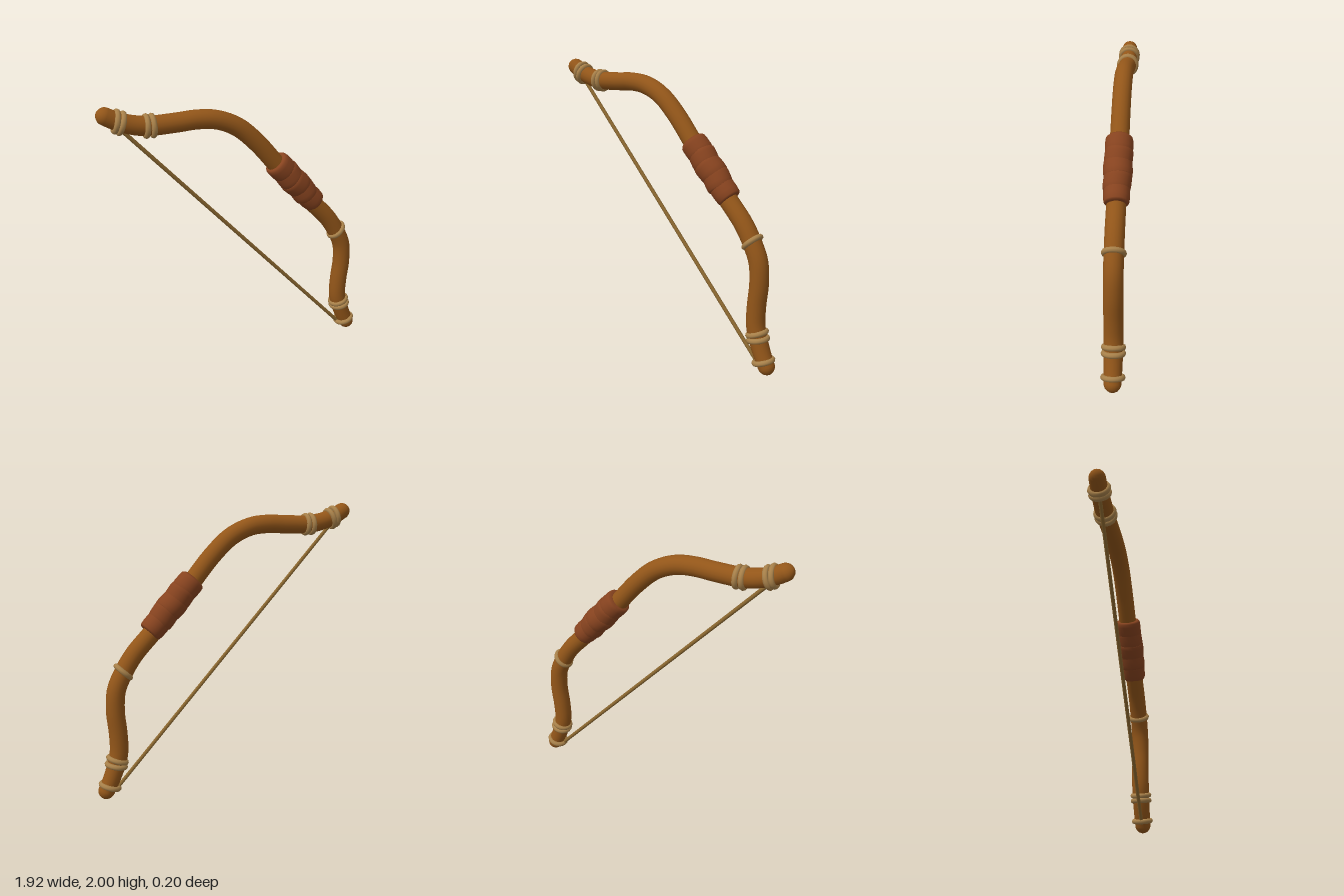
import * as THREE from 'three';

const mat = (name, color) => {
  const m = new THREE.MeshStandardMaterial({ color });
  m.name = name;
  return m;
};

// Centre line of the bow stave, from the upper tip to the lower tip
const stavePath = new THREE.CatmullRomCurve3([
  [-0.953, 1.972], [-0.905, 1.945], [-0.82, 1.9], [-0.72, 1.868], [-0.625, 1.854], [-0.44, 1.856],
  [-0.31, 1.861], [-0.175, 1.845], [-0.03, 1.78], [0.105, 1.66], [0.25, 1.49], [0.39, 1.318],
  [0.555, 1.14], [0.68, 1.005], [0.757, 0.885], [0.808, 0.77], [0.82, 0.625], [0.806, 0.465],
  [0.804, 0.335], [0.825, 0.24], [0.868, 0.125], [0.9, 0.058], [0.922, 0.006],
].map(([x, y]) => new THREE.Vector3(x, y, 0)), false, 'centripetal');

// Round stave with domed ends, swept in the xy plane
function staveGeometry(sides = 18) {
  const length = stavePath.getLength(), dome = 0.056;
  const stops = [0, 0.003, 0.012, 0.026, 0.042];
  const body = 90;
  for (let i = 0; i <= body; i++) stops.push(dome + (length - 2 * dome) * i / body);
  for (const s of [0.042, 0.026, 0.012, 0.003, 0]) stops.push(length - s);
  const pos = [], index = [];
  stops.forEach((s, i) => {
    const p = stavePath.getPointAt(s / length), t = stavePath.getTangentAt(s / length);
    const end = Math.min(s, length - s);
    const k = Math.max(0, 1 - end / dome);
    const r = (0.056 + 0.008 * Math.min(1, end / 0.3)) * Math.sqrt(1 - k * k);
    for (let j = 0; j < sides; j++) {
      const a = j / sides * Math.PI * 2, c = r * Math.cos(a);
      pos.push(p.x - t.y * c, p.y + t.x * c, r * Math.sin(a));
      if (i === stops.length - 1) continue;
      const n = (j + 1) % sides, q = i * sides;
      index.push(q + j, q + n, q + sides + j, q + n, q + sides + n, q + sides + j);
    }
  });
  const g = new THREE.BufferGeometry();
  g.setAttribute('position', new THREE.Float32BufferAttribute(pos, 3));
  g.setIndex(index);
  g.computeVertexNormals();
  return g;
}

export function createModel() {
  const wood = mat('wood', 0x935619);
  const leather = mat('leather', 0x87431f);
  const rope = mat('rope', 0xa8814a);
  const cord = mat('cord', 0x8c6830);

  const model = new THREE.Group();
  model.name = 'bow';
  const add = (name, geometry, material, parent = model) => {
    const m = new THREE.Mesh(geometry, material);
    m.name = name;
    parent.add(m);
    return m;
  };

  add('stave', staveGeometry(), wood);

  // Leather grip: overlapping, slightly tilted bands
  const grip = new THREE.Group();
  grip.name = 'grip';
  const top = new THREE.Vector3(0.25, 1.5, 0), bottom = new THREE.Vector3(0.568, 1.146, 0);
  const axis = top.clone().sub(bottom);
  const gripLength = axis.length();
  grip.position.copy(top).add(bottom).multiplyScalar(0.5);
  grip.quaternion.setFromUnitVectors(new THREE.Vector3(0, 1, 0), axis.normalize());
  model.add(grip);
  const bands = [
    { r: 0.086, tilt: 0.05 }, { r: 0.092, tilt: -0.14 }, { r: 0.096, tilt: 0.12 },
    { r: 0.094, tilt: -0.12 }, { r: 0.093, tilt: 0.04 },
  ];
  bands.forEach(({ r, tilt }, i) => {
    const h = 0.066;
    const profile = [[0.05, -h], [r - 0.014, -h], [r - 0.004, -h + 0.012], [r, -0.02],
      [r, 0.03], [r - 0.003, h - 0.012], [r - 0.014, h], [0.05, h]];
    const band = add('gripBand', new THREE.LatheGeometry(profile.map(p => new THREE.Vector2(...p)), 24), leather, grip);
    band.position.y = -gripLength / 2 + h + i * (gripLength - 2 * h) / (bands.length - 1);
    band.rotation.set(tilt * 0.6, 0, tilt);
  });

  // Rope bindings: x, y of centre, stave direction in degrees, coils as [offset, tilt]
  const bindings = [
    ['upperTipBinding', -0.822, 1.898, -25, [[-0.018, 0.2], [0.018, 0.1]]],
    ['upperBinding', -0.627, 1.854, -2, [[-0.021, -0.04], [0.021, 0.04]]],
    ['middleBinding', 0.757, 0.893, -60, [[0, 0.78 - 0.55]]],
    ['lowerBinding', 0.822, 0.255, -76, [[-0.02, 0.1], [0.02, -0.02]]],
    ['lowerTipBinding', 0.875, 0.09, -68, [[0, -0.06]]],
  ];
  for (const [name, x, y, angle, coils] of bindings) {
    const binding = new THREE.Group();
    binding.name = name;
    binding.position.set(x, y, 0);
    binding.rotation.z = THREE.MathUtils.degToRad(angle);
    model.add(binding);
    for (const [offset, tilt] of coils) {
      const coil = add('ropeCoil', new THREE.TorusGeometry(0.062, 0.019, 8, 28), rope, binding);
      coil.position.x = offset;
      coil.rotation.y = Math.PI / 2;
      coil.rotation.order = 'ZYX';
      coil.rotation.z = tilt;
    }
  }

  // Bowstring stretched between the tip bindings
  const string = new THREE.LineCurve3(new THREE.Vector3(-0.82, 1.86, 0), new THREE.Vector3(0.835, 0.058, 0));
  add('bowstring', new THREE.TubeGeometry(string, 1, 0.0135, 8), cord);

  return model;
}
